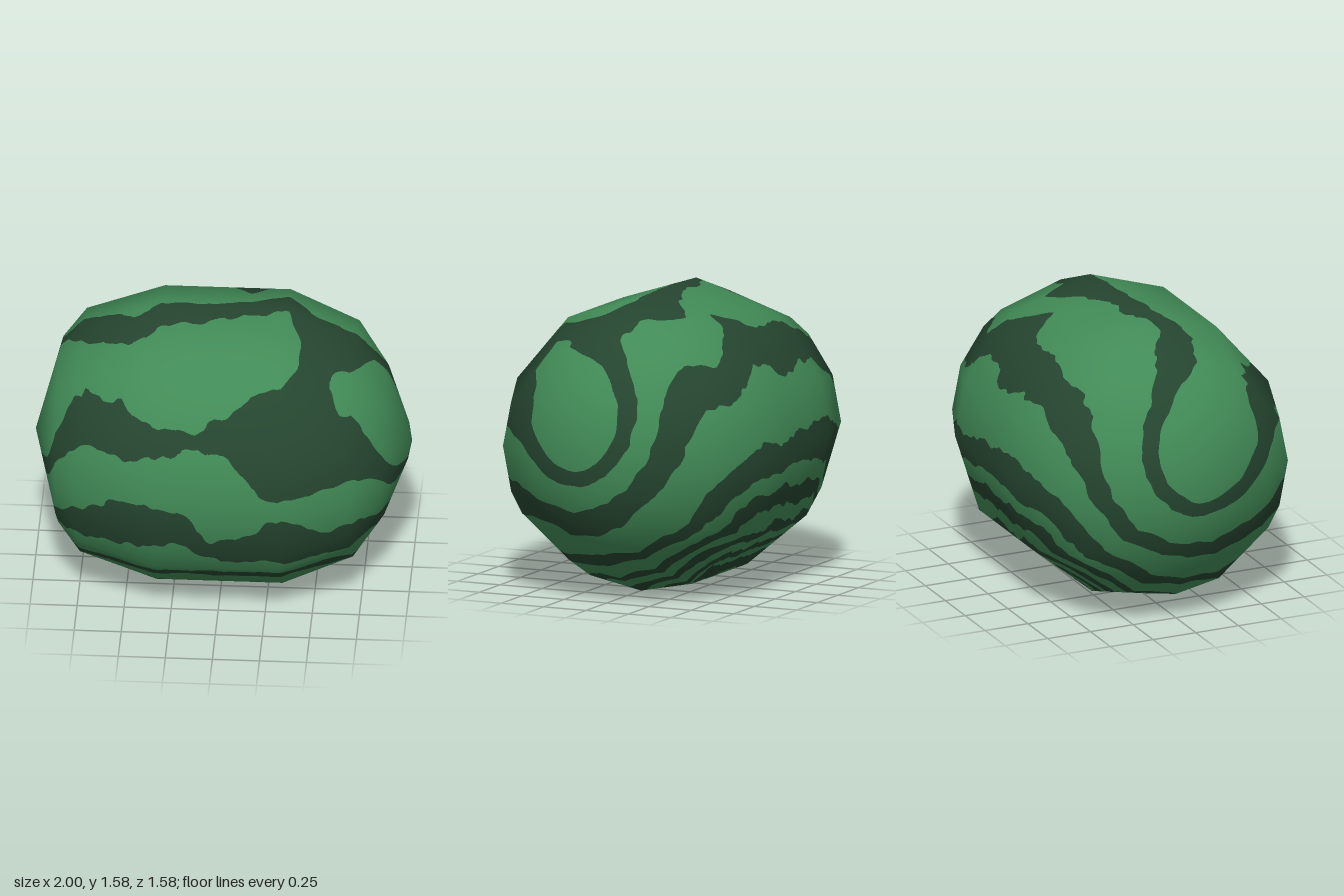
import * as THREE from 'three';

const R = 0.79, TILT = THREE.MathUtils.degToRad(28);

// Body outline [x, radius] and the faceted cross-section [z, y]
const PROFILE = [[-1, 0], [-0.87, 0.5], [-0.75, 0.655], [-0.34, R], [0.33, R],
  [0.7, 0.635], [0.86, 0.405], [0.98, 0.1], [1, 0]];
const SECTION = [[0, 0.79], [0.43, 0.65], [0.73, 0.3], [0.79, 0], [0.73, -0.3], [0.65, -0.44], [0.3, -0.73],
  [0, -0.79], [-0.3, -0.73], [-0.65, -0.44], [-0.79, 0], [-0.73, 0.3], [-0.56, 0.55], [-0.43, 0.65]];

// Dark stripes as rings around a tilted axis: [x, inner edge, outer edge] in degrees,
// given for the front half and the back half
const STRIPES = [
  { front: [[-0.85, 18, 36], [-0.7, 20, 38], [-0.5, 26, 46], [-0.1, 30, 37], [0.05, 24, 39], [0.12, 17, 47],
    [0.3, 9, 59], [0.5, 8, 56], [0.65, 26, 52], [0.85, 14, 35]],
    back: [[-0.8, 23, 40], [-0.4, 16, 28], [0, 23, 35], [0.15, 24, 39], [0.35, 27, 50], [0.5, 12, 36], [0.8, 14, 34]] },
  { front: [[-0.8, 66, 80], [-0.5, 63, 83], [-0.25, 60, 82], [-0.15, 64, 82], [-0.05, 76, 87], [0.1, 77, 92],
    [0.3, 66, 90], [0.6, 74, 92], [0.8, 62, 82]],
    back: [[-0.7, 73, 90], [-0.4, 70, 86], [0, 66, 90], [0.13, 53, 85], [0.25, 64, 81], [0.5, 73, 91], [0.8, 54, 77]] },
  { front: [[0, 104, 114]], back: [[-0.4, 110, 127], [0.5, 114, 126]] },
  { front: [[0, 130, 138]], back: [[0, 135, 143]] },
  { front: [[0, 147, 154]], back: [[0, 150, 157]] },
  { front: [[0, 162, 168]], back: [[0, 164, 170]] },
  { front: [[0, 175, 181]], back: [[0, 175, 181]] },
];

function keyed(keys, x) {
  if (x <= keys[0][0]) return keys[0];
  for (let i = 1; i < keys.length; i++) {
    const a = keys[i - 1], b = keys[i];
    if (x <= b[0]) return a.map((v, k) => THREE.MathUtils.lerp(v, b[k], (x - a[0]) / (b[0] - a[0])));
  }
  return keys[keys.length - 1];
}

// Ragged edge wobble, in degrees
function wobble(x, y, z) {
  let sum = 0;
  for (const [f, a] of [[9, 1.6], [21, 1.5], [43, 0.9]]) {
    sum += a * Math.sin(f * x + 2.1 * Math.sin(f * 0.6 * y + 1) + f * 0.3 * z)
      * Math.cos(f * 0.5 * z - f * 0.35 * y + 1.3 * Math.sin(f * 0.7 * x));
  }
  return sum;
}

// Positive inside a dark stripe, negative on the light rind
function stripeField(x, rho, theta) {
  const k = rho / R, end = Math.sqrt(Math.max(0, 1 - k * k));
  const q = k * Math.cos(theta - TILT) + Math.pow(end, 3.5);
  const angle = THREE.MathUtils.radToDeg(Math.acos(THREE.MathUtils.clamp(q, -1, 1)))
    + wobble(x, rho * Math.cos(theta), rho * Math.sin(theta));
  const w = 0.5 + 0.5 * THREE.MathUtils.clamp(4 * k * Math.sin(theta - TILT), -1, 1);
  let best = -1e3;
  for (const { front, back } of STRIPES) {
    const f = keyed(front, x), b = keyed(back, x);
    const inner = THREE.MathUtils.lerp(b[1], f[1], w), outer = THREE.MathUtils.lerp(b[2], f[2], w);
    best = Math.max(best, Math.min(angle - inner, outer - angle));
  }
  return best;
}

// Subdivide a polyline while keeping its corners
function refine(points, steps) {
  const out = [];
  for (let i = 1; i < points.length; i++) {
    const [a, b] = [points[i - 1], points[i]], n = steps(a, b);
    for (let s = 0; s < n; s++) out.push([0, 1].map(k => a[k] + (b[k] - a[k]) * s / n));
  }
  out.push(points[points.length - 1]);
  return out;
}

// A vertex is [x, y, z, nx, ny, nz, field]
function makeVertex([x, rho], [sz, sy]) {
  const y = sy * rho / R, z = sz * rho / R;
  const n = new THREE.Vector3(Math.sign(x) * Math.pow(Math.abs(x), 1.5), y / R, z / R).normalize();
  return [x, y + R, z, n.x, n.y, n.z, stripeField(x, rho, Math.atan2(sz, sy))];
}

// Keep the part of a triangle on one side of the stripe edge
function clip(tri, sign, out) {
  const poly = [];
  tri.forEach((a, i) => {
    const b = tri[(i + 1) % 3], fa = a[6] * sign, fb = b[6] * sign;
    if (fa >= 0) poly.push(a);
    if ((fa >= 0) !== (fb >= 0)) poly.push(a.map((v, k) => v + (b[k] - v) * fa / (fa - fb)));
  });
  for (let i = 2; i < poly.length; i++) out.push(poly[0], poly[i - 1], poly[i]);
}

function toMesh(name, verts, material) {
  const geo = new THREE.BufferGeometry();
  geo.setAttribute('position', new THREE.Float32BufferAttribute(verts.flatMap(v => v.slice(0, 3)), 3));
  geo.setAttribute('normal', new THREE.Float32BufferAttribute(verts.flatMap(v => v.slice(3, 6)), 3));
  const mesh = new THREE.Mesh(geo, material);
  mesh.name = name;
  return mesh;
}

export function createModel() {
  const lightGreen = new THREE.MeshStandardMaterial({ color: 0x418a56 });
  lightGreen.name = 'light green';
  const darkGreen = new THREE.MeshStandardMaterial({ color: 0x25452f });
  darkGreen.name = 'dark green';

  const columns = refine(PROFILE, (a, b) => Math.ceil(Math.hypot(b[0] - a[0], b[1] - a[1]) * 48));
  const ring = refine([...SECTION, SECTION[0]], () => 15);
  const grid = columns.map(c => ring.map(r => makeVertex(c, r)));

  // Split the skin into rind and stripes along the stripe edges
  const rind = [], stripes = [];
  for (let i = 0; i + 1 < grid.length; i++) {
    for (let j = 0; j + 1 < ring.length; j++) {
      const a = grid[i][j], b = grid[i][j + 1], c = grid[i + 1][j + 1], d = grid[i + 1][j];
      const tris = [];
      if (i > 0) tris.push([a, b, c]);
      if (i + 2 < grid.length) tris.push([a, c, d]);
      if (i === 0) tris[0] = [a, c, d];
      for (const t of tris) {
        clip(t, 1, stripes);
        clip(t, -1, rind);
      }
    }
  }

  const group = new THREE.Group();
  group.name = 'watermelon';
  group.add(toMesh('rind', rind, lightGreen), toMesh('stripes', stripes, darkGreen));
  return group;
}
